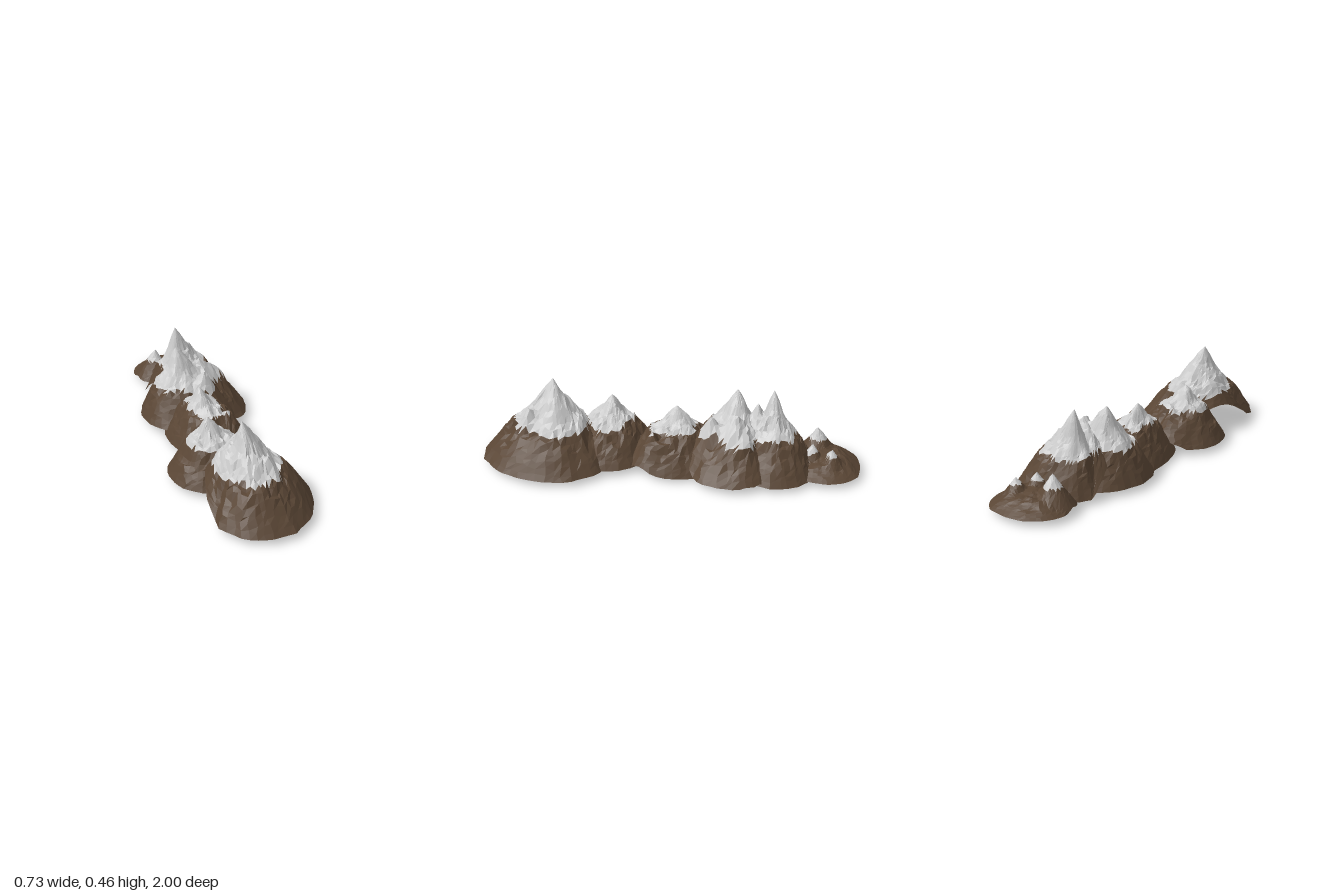
import * as THREE from 'three';

const SECTORS = 44, RINGS = 17, FOOT = 0.033, STEEPNESS = 1.4;

// Slope from the summit (t = 0) to the foot (t = 1): 2 = summit, 1 = shelf, 0 = foot
const PROFILE = [[0, 2], [0.12, 1.76], [0.25, 1.42], [0.4, 1.2], [0.56, 1], [0.78, 0.53], [1, 0]];

// Foot is an ellipse (centre, radii, turn), sinking by "sink" towards the back.
// "shelf" is the height where the peak meets the lower slope, "snow" the snow line.
const MOUNTAINS = [
  {
    name: 'frontMountain', summit: [-0.13, 0.46, 0.61], shelf: 0.21, snow: 0.215, sink: 0,
    centre: [-0.055, 0.662], radii: [0.265, 0.35], turn: 0.4,
    shoulders: [[-0.105, 0.435, 0.6], [-0.06, 0.32, 0.73], [-0.05, 0.3, 0.5]],
  },
  {
    name: 'secondMountain', summit: [-0.16, 0.335, 0.3], shelf: 0.185, snow: 0.205, sink: 0,
    centre: [-0.115, 0.315], radii: [0.25, 0.235], turn: 0,
    shoulders: [[-0.13, 0.24, 0.19]],
  },
  {
    name: 'middleMountain', summit: [-0.04, 0.32, -0.04], shelf: 0.172, snow: 0.205, sink: FOOT,
    centre: [0, -0.035], radii: [0.21, 0.28], turn: 0,
    shoulders: [[0.06, 0.22, 0.09]],
  },
  {
    name: 'broadMountain', summit: [-0.03, 0.41, -0.36], shelf: 0.2, snow: 0.21, sink: 0,
    centre: [0.06, -0.33], radii: [0.3, 0.265], turn: 0,
    shoulders: [[0.12, 0.335, -0.34], [0.07, 0.3, -0.22], [0.19, 0.275, -0.36]],
  },
  {
    name: 'sharpMountain', summit: [0.05, 0.44, -0.54], shelf: 0.205, snow: 0.215, sink: 0.008,
    centre: [0.125, -0.55], radii: [0.235, 0.215], turn: 0,
    shoulders: [[0.13, 0.32, -0.55], [0.03, 0.34, -0.46]],
  },
  {
    name: 'lowBackHill', summit: [0.13, 0.11, -0.79], shelf: 0.09, snow: 0.125, sink: 0,
    centre: [0.13, -0.815], radii: [0.21, 0.185], turn: 0,
    shoulders: [[0.03, 0.2, -0.79], [0.21, 0.165, -0.83], [0.15, 0.165, -0.74]],
  },
];

const hash = (i, j) => {
  const s = Math.sin(i * 127.1 + j * 311.7) * 43758.5453;
  return s - Math.floor(s);
};

// Smooth value noise, -1 to 1
function noise(x, z) {
  const i = Math.floor(x), j = Math.floor(z);
  const u = THREE.MathUtils.smoothstep(x - i, 0, 1), v = THREE.MathUtils.smoothstep(z - j, 0, 1);
  const { lerp } = THREE.MathUtils;
  return 2 * lerp(lerp(hash(i, j), hash(i + 1, j), u), lerp(hash(i, j + 1), hash(i + 1, j + 1), u), v) - 1;
}

// Sharp-crested noise, about -0.5 to 0.5
const ridge = (x, z) => 0.5 - Math.abs(noise(x, z));

function slope(t) {
  const k = Math.max(1, PROFILE.findIndex((p) => p[0] >= t));
  const [t0, h0] = PROFILE[k - 1], [t1, h1] = PROFILE[k];
  return h0 + (h1 - h0) * (t - t0) / (t1 - t0);
}

// Lobed ellipse around the foot of a mountain
function footPoint({ centre, radii, turn }, angle) {
  const c = Math.cos(angle), s = Math.sin(angle), seed = centre[1] * 20;
  const bumps = 0.04 * noise(c * 3 + seed, s * 3) + 0.03 * noise(c * 7 + seed, s * 7);
  const lobe = 1 + Math.abs(2 * s * c) * (0.02 + bumps);
  const u = radii[0] * c * lobe, v = radii[1] * s * lobe;
  return {
    x: centre[0] + u * Math.cos(turn) - v * Math.sin(turn),
    z: centre[1] + u * Math.sin(turn) + v * Math.cos(turn),
  };
}

// Point on a mountain, counted in rings from the summit and sectors around it
function surfacePoint(m, ring, sector) {
  const inner = ring > 0 && ring < RINGS;
  const jitter = (k) => (inner ? (hash(ring + k * 31, sector + m.summit[2] * 50) - 0.5) * 0.6 : 0);
  const t = (ring + jitter(1)) / RINGS;
  const edge = footPoint(m, (sector + jitter(2)) / SECTORS * Math.PI * 2);
  const x = THREE.MathUtils.lerp(m.summit[0], edge.x, t);
  const z = THREE.MathUtils.lerp(m.summit[2], edge.z, t);
  const foot = FOOT - m.sink * (0.5 - (z - m.centre[1]) / (2 * m.radii[1]));
  const h = slope(t);
  let y = h > 1 ? m.shelf + (m.summit[1] - m.shelf) * (h - 1) : foot + (m.shelf - foot) * h;
  for (const [px, py, pz] of m.shoulders) {
    y = Math.max(y, py - STEEPNESS * Math.hypot(x - px, z - pz));
  }
  // Crags, fading out at the summit and the foot, and weaker on low ground
  const fade = Math.min(1, t * 4) * Math.min(1, (1 - t) * 3) * Math.min(1, m.summit[1] * 3);
  const crag = 0.03 * ridge(x * 14, z * 14) + 0.026 * ridge(x * 30 + 9, z * 30);
  return new THREE.Vector3(x, Math.max(foot, y + crag * fade), z);
}

function shell(name, points, color) {
  const geometry = new THREE.BufferGeometry().setFromPoints(points);
  geometry.computeVertexNormals();
  const material = new THREE.MeshStandardMaterial({ color, flatShading: true, side: THREE.DoubleSide });
  const mesh = new THREE.Mesh(geometry, material);
  mesh.name = name;
  return mesh;
}

function buildMountain(m) {
  const grid = [];
  for (let r = 0; r <= RINGS; r++) {
    grid.push([]);
    for (let s = 0; s < SECTORS; s++) grid[r].push(surfacePoint(m, r, s));
  }

  // Sort the faces into snow and rock along a ragged snow line
  const snow = [], rock = [];
  const face = (a, b, c) => {
    const x = (a.x + b.x + c.x) / 3, y = (a.y + b.y + c.y) / 3, z = (a.z + b.z + c.z) / 3;
    (y > m.snow + 0.018 * noise(x * 14, z * 14 + 3) ? snow : rock).push(a, b, c);
  };
  for (let r = 0; r < RINGS; r++) {
    for (let s = 0; s < SECTORS; s++) {
      const n = (s + 1) % SECTORS;
      face(grid[r][s], grid[r + 1][n], grid[r + 1][s]);
      if (r > 0) face(grid[r][s], grid[r][n], grid[r + 1][n]);
    }
  }

  const group = new THREE.Group();
  group.name = m.name;
  group.add(shell('snowCap', snow, 0xcccccc), shell('rockSlope', rock, 0x5a4635));
  return group;
}

export function createModel() {
  const range = new THREE.Group();
  range.name = 'mountainRange';
  for (const m of MOUNTAINS) range.add(buildMountain(m));
  return range;
}
